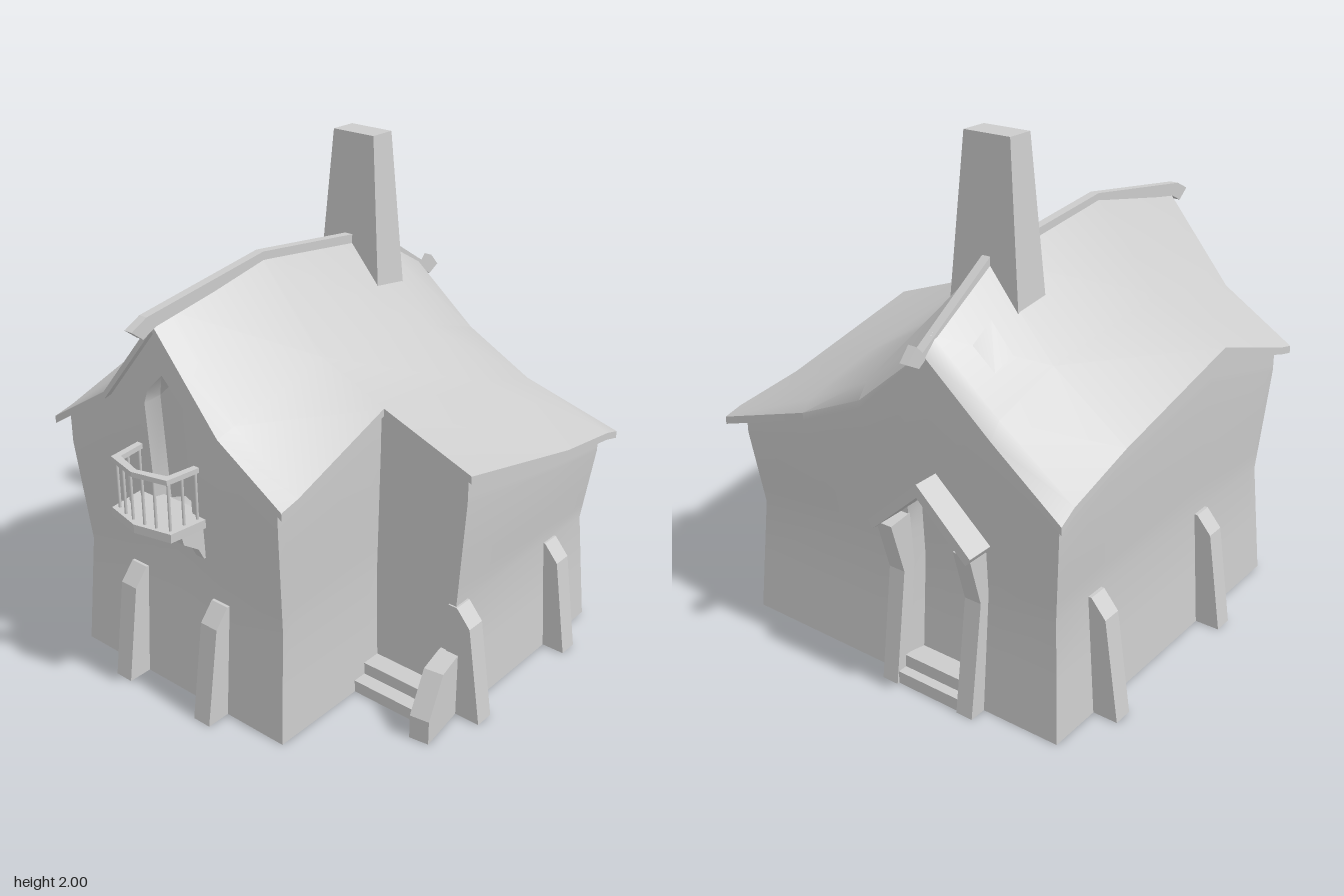
import * as THREE from 'three';
import { toCreasedNormals } from 'three/addons/utils/BufferGeometryUtils.js';

const mat = new THREE.MeshStandardMaterial({ color: 0xcccccc, side: THREE.DoubleSide });

// Sagging roof: height at each grid crossing (rows run front to back)
const XS = [-0.78, -0.48, -0.2, 0.1, 0.39, 0.775];
const ZS = [0.745, 0.66, 0.2, -0.45, -0.75, -0.81];
const H = [
  [1.01, 1.20, 1.54, 1.19, 1.01, 0.86],
  [1.03, 1.22, 1.56, 1.21, 1.03, 0.88],
  [1.18, 1.32, 1.65, 1.32, 1.20, 1.06],
  [1.03, 1.25, 1.57, 1.25, 1.08, 0.91],
  [0.94, 1.16, 1.39, 1.15, 1.00, 0.87],
  [0.90, 1.10, 1.34, 1.09, 0.96, 0.85],
];

const span = (arr, v) => {
  let i = 0;
  while (i < arr.length - 2 && (v - arr[i + 1]) * (arr[1] - arr[0]) > 0) i++;
  return [i, (v - arr[i]) / (arr[i + 1] - arr[i])];
};

function roofHeight(x, z) {
  const [i, s] = span(XS, x), [j, t] = span(ZS, z);
  const row = (k) => H[k][i] + (H[k][i + 1] - H[k][i]) * s;
  return row(j) + (row(j + 1) - row(j)) * t;
}

function fromQuads(positions, quads, crease) {
  const g = new THREE.BufferGeometry();
  g.setAttribute('position', new THREE.Float32BufferAttribute(positions, 3));
  g.setIndex(quads.flatMap(([a, b, c, d]) => [a, b, c, a, c, d]));
  return toCreasedNormals(g, crease);
}

function add(parent, name, geometry) {
  const m = new THREE.Mesh(geometry, mat);
  m.name = name;
  parent.add(m);
  return m;
}

const shapeOf = (pts) => new THREE.Shape(pts.map(([x, y]) => new THREE.Vector2(x, y)));

// Slab of given width from an (outward, up) profile; the profile's x axis points outward
function slab(pts, width) {
  const g = new THREE.ExtrudeGeometry(shapeOf(pts), { depth: width, bevelEnabled: false });
  return g.translate(0, 0, -width / 2);
}

function roofGeometry() {
  const n = XS.length, pos = [], quads = [];
  const backDip = [-0.01, 0.015, 0.01, 0.015, 0.02, -0.015];
  for (const drop of [0, 0.03])
    ZS.forEach((z, j) => XS.forEach((x, i) =>
      pos.push(x, H[j][i] - drop, j === ZS.length - 1 ? z + backDip[i] : z)));
  const low = n * ZS.length;
  // The front right corner of the plan is left out
  const solid = (i, j) => i >= 0 && j >= 0 && i < n - 1 && j < ZS.length - 1 && !(i === 4 && j < 2);
  for (let j = 0; j < ZS.length - 1; j++) for (let i = 0; i < n - 1; i++) {
    if (!solid(i, j)) continue;
    const a = j * n + i, b = a + 1, c = b + n, d = a + n;
    quads.push([a, b, c, d], [d + low, c + low, b + low, a + low]);
    const edge = (p, q) => quads.push([p + low, q + low, q, p]);
    if (!solid(i, j - 1)) edge(a, b);
    if (!solid(i + 1, j)) edge(b, c);
    if (!solid(i, j + 1)) edge(c, d);
    if (!solid(i - 1, j)) edge(d, a);
  }
  return fromQuads(pos, quads, 0.7);
}

// Walls pinch in at mid height and rise to the roof; r marks recessed columns
function wallGeometry() {
  const F = 0.71, B = -0.76;
  const ring = [
    ...[-0.73, -0.48, -0.3].map((x) => [x, F]),
    [-0.28, F, 1], [-0.2, F, 1], [-0.12, F, 1],
    ...[-0.1, 0.1, 0.34].map((x) => [x, F]),
    [0.34, 0.66], [0.34, 0.2], [0.34, 0.15], [0.39, 0.15], [0.73, 0.15], [0.73, -0.45],
    ...[0.73, 0.39, 0.1, -0.06].map((x) => [x, B]),
    [-0.075, B, 1], [-0.2, B, 1], [-0.325, B, 1],
    ...[-0.34, -0.48, -0.73].map((x) => [x, B]),
    [-0.73, -0.45], [-0.73, 0.2], [-0.73, 0.66],
  ];
  const rows = [-1, -0.5, 0, 0.16, 0.3, 0.33, 0.77, 0.81, 1];
  const pos = [], quads = [], n = ring.length;
  for (const f of rows) for (const [x, z, r] of ring) {
    const top = roofHeight(x, z) - 0.015;
    const y = f < 0 ? 0.47 * (1 + f) : 0.47 + (top - 0.47) * f;
    const k = 1 - 0.045 * (f < 0 ? 1 + f : Math.max(0, 1 - f * 1.3));
    // Front niche sits above the balcony, back doorway reaches the ground
    const recess = r && (z > 0 ? f > 0.31 && f < 0.8 : f < 0.31) ? 0.06 : 0;
    pos.push(x * k, y, z * k - Math.sign(z) * recess);
  }
  for (let j = 0; j < rows.length - 1; j++) for (let i = 0; i < n; i++) {
    const a = j * n + i, b = j * n + (i + 1) % n;
    quads.push([a, b, b + n, a + n]);
  }
  return fromQuads(pos, quads, 0.75);
}

function makeBalcony() {
  const g = new THREE.Group();
  g.name = 'balcony';
  const outline = (w, f) => [[-w, 0.66], [w, 0.66], [w - 0.02, f - 0.035], [0, f], [-w + 0.02, f - 0.035]];
  const flat = (shape, depth, y) => new THREE.ExtrudeGeometry(shape, { depth, bevelEnabled: false })
    .rotateX(Math.PI / 2).translate(-0.2, y, 0);
  add(g, 'balconyFloor', flat(shapeOf(outline(0.175, 0.885)), 0.035, 0.81));
  const o = outline(0.165, 0.88), q = outline(0.14, 0.855);
  add(g, 'balconyRail', flat(shapeOf([o[1], o[2], o[3], o[4], o[0], q[0], q[4], q[3], q[2], q[1]]), 0.02, 1.02));
  const spots = [[0.146, 0.71], [0.14, 0.77], [0.133, 0.83], [0.08, 0.848], [0.03, 0.858]];
  for (const s of [-1, 1]) {
    for (const [x, z] of spots)
      add(g, 'baluster', new THREE.CylinderGeometry(0.006, 0.006, 0.2, 6)).position.set(-0.2 + s * x, 0.905, z);
    const b = add(g, 'balconyBracket',
      slab([[0.64, 0.64], [0.695, 0.64], [0.72, 0.69], [0.79, 0.74], [0.8, 0.78], [0.64, 0.78]], 0.04));
    b.rotation.y = -Math.PI / 2;
    b.position.x = -0.2 + s * 0.135;
  }
  return g;
}

function makeDoorway() {
  const g = new THREE.Group();
  g.name = 'doorway';
  for (const x of [-0.375, -0.025]) {
    const p = add(g, 'doorPost', slab([[0.68, 0], [0.83, 0], [0.77, 0.45], [0.83, 0.66], [0.68, 0.68]], 0.07));
    p.rotation.y = Math.PI / 2;
    p.position.x = x;
  }
  const hood = slab([[0, 0.88], [-0.23, 0.67], [-0.21, 0.64], [0, 0.83], [0.21, 0.64], [0.23, 0.67]], 0.16);
  add(g, 'doorHood', hood).position.set(-0.2, 0, -0.77);
  [[0.05, 0.82], [0.1, 0.78]].forEach(([h, z]) =>
    add(g, 'doorStep', new THREE.BoxGeometry(0.3, h, 0.14)).position.set(-0.2, h / 2, -z + 0.07));
  return g;
}

export function createModel() {
  const house = new THREE.Group();
  house.name = 'cottage';
  add(house, 'walls', wallGeometry());
  add(house, 'roof', roofGeometry());

  // Ridge beam with a small beak at each end
  add(house, 'ridgeBeam', slab([[0.85, 1.54], [0.78, 1.575], [0.2, 1.66], [-0.45, 1.585], [-0.81, 1.35],
    [-0.84, 1.38], [-0.885, 1.33], [-0.83, 1.3], [-0.8, 1.32], [-0.45, 1.54], [0.2, 1.62], [0.74, 1.53],
    [0.8, 1.5]], 0.035)).rotation.y = -Math.PI / 2;
  house.getObjectByName('ridgeBeam').position.x = -0.197;

  // Tapered chimney
  const chimney = new THREE.BoxGeometry(1, 0.61, 1);
  const p = chimney.attributes.position;
  for (let i = 0; i < p.count; i++) {
    const top = p.getY(i) > 0;
    p.setX(i, p.getX(i) * (top ? 0.195 : 0.3));
    p.setZ(i, p.getZ(i) * (top ? 0.11 : 0.16));
  }
  chimney.computeVertexNormals();
  add(house, 'chimney', chimney).position.set(-0.19, 1.695, -0.38);

  // Buttresses: turn, x, z
  const buttress = slab([[-0.06, 0], [0.1, 0], [0.04, 0.4], [-0.02, 0.47], [-0.06, 0.47]], 0.08);
  for (const [turn, x, z] of [
    [-Math.PI / 2, -0.415, 0.71], [-Math.PI / 2, 0.02, 0.71],
    [Math.PI, -0.73, -0.495], [Math.PI, -0.73, 0.23],
    [0, 0.725, -0.49], [0, 0.725, 0.11],
  ]) {
    const b = add(house, 'buttress', buttress);
    b.rotation.y = turn;
    b.position.set(x, 0, z);
  }

  // Side steps with a sloping cheek wall
  [[0.05, 0.29], [0.1, 0.23]].forEach(([h, z]) =>
    add(house, 'sideStep', new THREE.BoxGeometry(0.34, h, z - 0.1)).position.set(0.49, h / 2, (z + 0.1) / 2));
  const cheek = add(house, 'stepCheek',
    slab([[-0.03, 0], [0.21, 0], [0.21, 0.1], [0.11, 0.25], [0, 0.265], [-0.03, 0.265]], 0.08));
  cheek.rotation.y = -Math.PI / 2 + 0.14;
  cheek.position.set(0.68, 0, 0.16);

  house.add(makeBalcony(), makeDoorway());
  return house;
}
